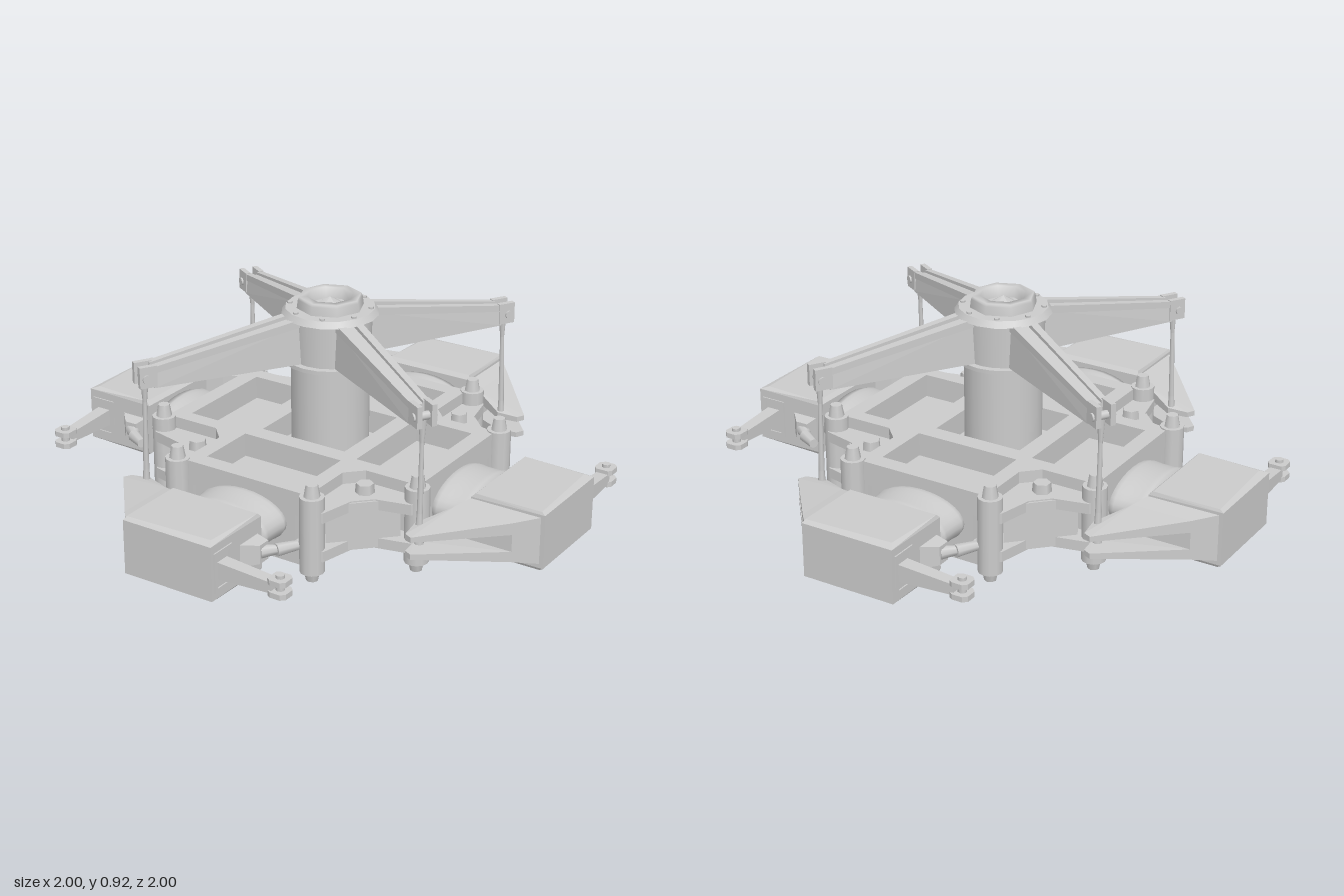
import * as THREE from 'three';
import { ConvexGeometry } from 'three/addons/geometries/ConvexGeometry.js';

const mat = new THREE.MeshStandardMaterial({ color: 0xcccccc, side: THREE.DoubleSide });
const V = (x, y, z) => new THREE.Vector3(x, y, z);
const flat = pts => pts.map(c => new THREE.Vector2(...c));

function add(parent, name, geo, x = 0, y = 0, z = 0) {
  const m = new THREE.Mesh(geo, mat);
  m.name = name;
  m.position.set(x, y, z);
  parent.add(m);
  return m;
}
const box = (p, name, x0, x1, y0, y1, z0, z1) =>
  add(p, name, new THREE.BoxGeometry(x1 - x0, y1 - y0, z1 - z0), (x0 + x1) / 2, (y0 + y1) / 2, (z0 + z1) / 2);
const cyl = (p, name, rTop, rBot, y0, y1, x = 0, z = 0, sides = 12) =>
  add(p, name, new THREE.CylinderGeometry(rTop, rBot, y1 - y0, sides), x, (y0 + y1) / 2, z);
const hull = (p, name, pts) => add(p, name, new ConvexGeometry(pts.map(a => V(...a))));

// Straight rod between two points
function rod(p, name, a, b, r0, r1 = r0, sides = 8) {
  const d = b.clone().sub(a);
  const m = add(p, name, new THREE.CylinderGeometry(r1, r0, d.length(), sides));
  m.position.copy(a).add(b).multiplyScalar(0.5);
  m.quaternion.setFromUnitVectors(V(0, 1, 0), d.normalize());
}

// Solid with flat top and bottom over a plan outline, each point [x, z, yLow, yHigh]
const slab = (p, name, pts) =>
  hull(p, name, pts.flatMap(([x, z, lo, hi]) => [[x, lo, z], [x, hi, z]]));

// Plan outline of one corner: raised cross frame, and the flange that carries the pins
const FRAME = [[0.55, 0.27], [0.33, 0.27], [0.27, 0.33], [0.27, 0.55]];
const FLANGE = [[0.55, 0.26], [0.58, 0.3], [0.56, 0.34], [0.43, 0.37], [0.37, 0.43], [0.34, 0.56], [0.3, 0.58], [0.26, 0.55]];

// Four-fold plate with a window in every arm and a square opening round the mast
function hubPlate(corner, y0, y1) {
  const turn = ([x, y], k) => {
    for (let i = 0; i < k; i++) [x, y] = [-y, x];
    return new THREE.Vector2(x, y);
  };
  const shape = new THREE.Shape([0, 1, 2, 3].flatMap(k => corner.map(c => turn(c, k))));
  shape.holes.push(new THREE.Path([0, 1, 2, 3].map(k => turn([0.18, 0.18], k))));
  for (let k = 0; k < 4; k++) {
    shape.holes.push(new THREE.Path([[-0.21, 0.25], [-0.21, 0.485], [0.21, 0.485], [0.21, 0.25]].map(c => turn(c, k))));
  }
  const g = new THREE.ExtrudeGeometry(shape, { depth: y1 - y0, bevelEnabled: false });
  return g.rotateX(-Math.PI / 2).translate(0, y0, 0);
}

// Everything that repeats four times, built facing +z
function quarter() {
  const q = new THREE.Group();

  // Spindle and rounded bearing
  box(q, 'spindle', -0.215, 0.215, 0.22, 0.32, 0.1, 0.55);
  const prof = [[0, 0.53], [0.16, 0.53], [0.18, 0.55], [0.185, 0.57], [0.18, 0.60], [0.18, 0.66], [0.185, 0.68], [0.17, 0.71], [0, 0.72]];
  const bearing = add(q, 'bearing', new THREE.LatheGeometry(flat(prof), 28), 0, 0.275, 0);
  bearing.rotation.x = Math.PI / 2;
  bearing.scale.z = 0.5;

  // Blade grip block with slightly chamfered top and bottom
  slab(q, 'gripBlock', [
    [-0.185, 0.71, 0.175, 0.375], [0.185, 0.71, 0.175, 0.375], [0.185, 1, 0.175, 0.38], [-0.185, 1, 0.175, 0.38],
    [-0.18, 0.725, 0.165, 0.39], [0.18, 0.725, 0.165, 0.39], [0.165, 0.97, 0.165, 0.39], [-0.18, 0.985, 0.165, 0.39]]);

  // Forked pitch horn: root and two prongs
  slab(q, 'pitchHornRoot', [[-0.18, 0.71, 0.19, 0.37], [-0.18, 0.99, 0.19, 0.37],
    [-0.25, 0.68, 0.205, 0.355], [-0.25, 0.91, 0.205, 0.355]]);
  slab(q, 'pitchHornUpperProng', [[-0.25, 0.68, 0.31, 0.355], [-0.25, 0.91, 0.31, 0.355],
    [-0.38, 0.60, 0.3, 0.325], [-0.46, 0.61, 0.3, 0.32], [-0.475, 0.64, 0.3, 0.32]]);
  slab(q, 'pitchHornLowerProng', [[-0.25, 0.68, 0.205, 0.245], [-0.25, 0.91, 0.205, 0.245],
    [-0.38, 0.60, 0.235, 0.255], [-0.46, 0.61, 0.235, 0.255], [-0.475, 0.64, 0.235, 0.255]]);

  // Damper arm with forked end, mounted on a framed panel
  const frame = new THREE.Shape(flat([[-0.05, -0.075], [0.05, -0.075], [0.05, 0.075], [-0.05, 0.075]]));
  frame.holes.push(new THREE.Path(flat([[-0.035, -0.06], [-0.035, 0.06], [0.035, 0.06], [0.035, -0.06]])));
  add(q, 'panelFrame', new THREE.ExtrudeGeometry(frame, { depth: 0.008, bevelEnabled: false }).rotateY(Math.PI / 2), 0.182, 0.275, 0.935);
  hull(q, 'damperArm', [[0.18, 0.245, 0.91], [0.18, 0.31, 0.91], [0.18, 0.245, 0.965], [0.18, 0.31, 0.965],
    [0.4, 0.255, 0.915], [0.4, 0.295, 0.915], [0.4, 0.255, 0.96], [0.4, 0.295, 0.96]]);
  for (const y of [0.245, 0.29]) {
    slab(q, 'damperFork', [[0.385, 0.91], [0.4, 0.9], [0.44, 0.9], [0.455, 0.915], [0.455, 0.955], [0.44, 0.97], [0.4, 0.97], [0.385, 0.96]]
      .map(c => [...c, y, y + 0.02]));
  }
  cyl(q, 'damperForkPin', 0.016, 0.016, 0.235, 0.322, 0.42, 0.935, 8);

  // Inner lug bracket with a short link
  hull(q, 'lugBracket', [[0.17, 0.23, 0.73], [0.17, 0.32, 0.73], [0.17, 0.23, 0.85], [0.17, 0.32, 0.85],
    [0.235, 0.24, 0.74], [0.235, 0.31, 0.74], [0.235, 0.24, 0.79], [0.235, 0.31, 0.79]]);
  rod(q, 'lugLink', V(0.22, 0.275, 0.77), V(0.27, 0.275, 0.71), 0.026, 0.016);
  rod(q, 'lugLinkEnd', V(0.26, 0.275, 0.73), V(0.3, 0.275, 0.66), 0.024, 0.018);

  // Side walls and clamp pins on both sides of the arm
  for (const s of [-1, 1]) {
    const x = s * 0.29, z = 0.555;
    box(q, 'sideWall', s * 0.25 - 0.02, s * 0.25 + 0.02, 0.2, 0.34, 0.31, 0.55);
    cyl(q, 'pinBody', 0.045, 0.045, 0.125, 0.415, x, z);
    cyl(q, 'pinTop', 0.022, 0.03, 0.415, 0.46, x, z, 8);
    cyl(q, 'pinBottom', 0.03, 0.022, 0.09, 0.125, x, z, 8);
  }

  // Corner web tapering in height toward the notch, and the bolt on the flange
  slab(q, 'cornerWeb', [[0.27, 0.33, 0.18, 0.36], [0.33, 0.27, 0.18, 0.36],
    [0.31, 0.5, 0.18, 0.36], [0.5, 0.31, 0.18, 0.36]]);
  cyl(q, 'cornerBolt', 0.032, 0.036, 0.36, 0.4, 0.37, 0.34, 6);

  // Thin line under the hub
  rod(q, 'lowerNozzle', V(0.08, 0.095, 0.09), V(0.1, 0.1, 0.18), 0.02, 0.012);
  rod(q, 'lowerLine', V(0.1, 0.1, 0.17), V(0.08, 0.115, 0.52), 0.005, 0.004, 6);

  // Tapered spider arm, flat underneath, with edge rails on top and a forked tip
  const arm = new THREE.Group();
  arm.name = 'spiderArm';
  arm.rotation.y = Math.atan2(-0.38, 0.63);
  q.add(arm);
  hull(arm, 'armBeam', [[-0.05, 0.69, 0.1], [0.05, 0.69, 0.1], [-0.045, 0.855, 0.1], [0.045, 0.855, 0.1],
    [-0.036, 0.695, 0.7], [0.036, 0.695, 0.7], [-0.03, 0.765, 0.7], [0.03, 0.765, 0.7]]);
  for (const s of [-1, 1]) {
    hull(arm, 'armRail', [[0.02, 0.84, 0.1], [0.05, 0.84, 0.1], [0.02, 0.87, 0.1], [0.05, 0.87, 0.1],
      [0.012, 0.75, 0.7], [0.036, 0.75, 0.7], [0.012, 0.775, 0.7], [0.036, 0.775, 0.7]].map(([x, y, z]) => [s * x, y, z]));
    box(arm, 'armTipFork', s * 0.028 - 0.01, s * 0.028 + 0.01, 0.7, 0.78, 0.69, 0.755);
  }
  rod(arm, 'armTipPin', V(-0.045, 0.735, 0.73), V(0.045, 0.735, 0.73), 0.016);

  // Pitch link from the spider tip to the horn
  const top = V(-0.375, 0.73, 0.62), bottom = V(-0.385, 0.25, 0.62);
  const at = t => top.clone().lerp(bottom, t);
  rod(q, 'pitchLinkTop', top, at(0.2), 0.016, 0.008);
  rod(q, 'pitchLinkRod', at(0.2), at(0.75), 0.008, 0.011);
  rod(q, 'pitchLinkBottom', at(0.75), bottom, 0.011, 0.018);
  return q;
}

export function createModel() {
  const model = new THREE.Group();
  model.name = 'rotorHub';

  // Mast, collar and hollow cap
  cyl(model, 'mast', 0.145, 0.145, 0, 0.69, 0, 0, 20);
  cyl(model, 'collar', 0.155, 0.15, 0.675, 0.87, 0, 0, 20);
  cyl(model, 'collarFlange', 0.175, 0.175, 0.675, 0.69, 0, 0, 20);
  cyl(model, 'capFlange', 0.165, 0.18, 0.855, 0.878, 0, 0, 16);
  const cap = [[0.125, 0.875], [0.12, 0.91], [0.115, 0.92], [0.085, 0.92], [0.075, 0.88]];
  add(model, 'capRing', new THREE.LatheGeometry(flat(cap), 8));
  cyl(model, 'capCone', 0, 0.07, 0.875, 0.915, 0, 0, 6);
  for (let i = 0; i < 8; i++) {
    const a = (i + 0.5) * Math.PI / 4;
    cyl(model, 'capBolt', 0.01, 0.01, 0.872, 0.885, 0.15 * Math.cos(a), 0.15 * Math.sin(a), 6);
  }

  // Raised frames and pin flanges above and below the spindles
  add(model, 'upperFrame', hubPlate(FRAME, 0.32, 0.41));
  add(model, 'upperFlange', hubPlate(FLANGE, 0.325, 0.365));
  add(model, 'lowerFrame', hubPlate(FRAME, 0.13, 0.22));
  add(model, 'lowerFlange', hubPlate(FLANGE, 0.175, 0.215));

  for (let k = 0; k < 4; k++) {
    const q = quarter();
    q.name = 'rotorArm' + (k + 1);
    q.rotation.y = k * Math.PI / 2;
    model.add(q);
  }
  return model;
}
